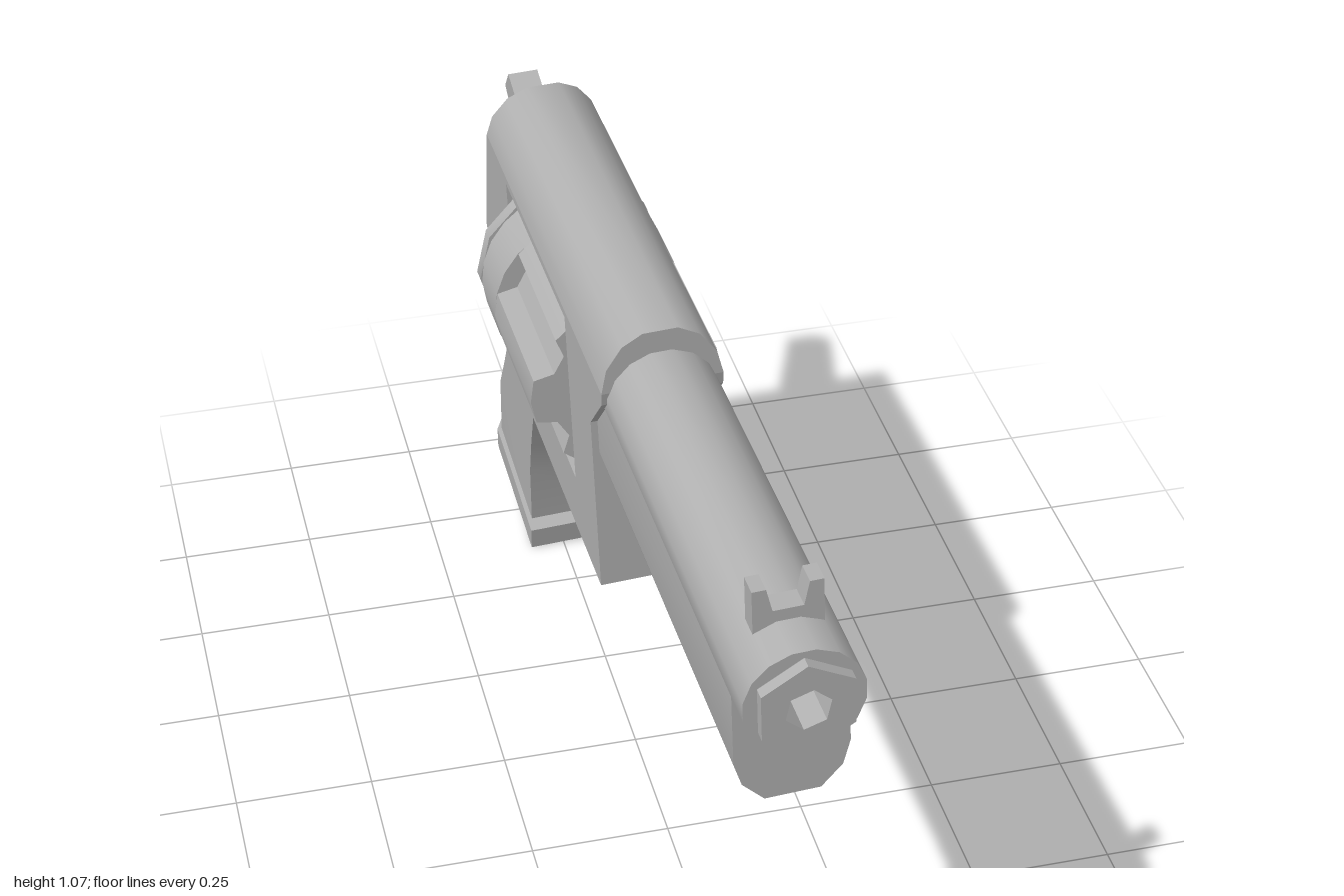
import * as THREE from 'three';
import { toCreasedNormals } from 'three/addons/utils/BufferGeometryUtils.js';

export function createModel() {
  const root = new THREE.Group();
  root.name = 'revolver';
  const tilted = new THREE.Group();
  tilted.name = 'tiltedAssembly';
  const steel = new THREE.MeshStandardMaterial({ color: 0xb0b0b0 });
  steel.name = 'steel grey';

  const add = (name, geo, x = 0, y = 0, z = 0) => {
    const mesh = new THREE.Mesh(toCreasedNormals(geo, 0.55), steel);
    mesh.name = name;
    mesh.position.set(x, y, z);
    tilted.add(mesh);
    return mesh;
  };
  const toShape = (pts) => new THREE.Shape(pts.map(([a, b]) => new THREE.Vector2(a, b)));

  // Side outline in (z, y), given a thickness across x
  const plate = (pts, halfWidth, hole) => {
    const shape = toShape(pts);
    if (hole) shape.holes.push(toShape(hole));
    return new THREE.ExtrudeGeometry(shape, { depth: halfWidth * 2, bevelEnabled: false })
      .translate(0, 0, -halfWidth).rotateY(-Math.PI / 2);
  };
  // Cross-section in (x, y), drawn out along z
  const bar = (shape, z0, z1) =>
    new THREE.ExtrudeGeometry(shape, { depth: z1 - z0, bevelEnabled: false }).translate(0, 0, z0);
  const polygon = (r, n, turn = 0) => Array.from({ length: n }, (_, i) => {
    const a = turn + (i / n) * Math.PI * 2;
    return [r * Math.cos(a), r * Math.sin(a)];
  });
  const ring = (r, n, bore) => {
    const shape = toShape(polygon(r, n, Math.PI / n));
    shape.holes.push(toShape(polygon(bore, 6, 0.3)));
    return shape;
  };

  // Barrel with hexagonal muzzle ring and bore
  add('barrel', bar(ring(0.096, 16, 0.037), 0.05, 0.98), 0, 0.915);
  add('muzzleRing', bar(ring(0.083, 6, 0.037), 0.97, 1.0), 0, 0.915);
  add('barrelUnderlug', bar(toShape([
    [-0.092, 0.89], [-0.092, 0.755], [-0.08, 0.71], [-0.045, 0.672],
    [0.045, 0.672], [0.08, 0.71], [0.092, 0.755], [0.092, 0.89],
  ]), 0.05, 0.91));

  // Notched front sight
  add('frontSight', bar(toShape([
    [-0.055, 0.97], [0.055, 0.97], [0.055, 1.072], [0.033, 1.072],
    [0.024, 1.03], [-0.024, 1.03], [-0.033, 1.072], [-0.055, 1.072],
  ]), 0.865, 0.903));

  // Frame with a window for the cylinder
  add('frame', plate([
    [0.09, 0.465], [0.09, 0.82], [0.185, 0.92], [0.19, 0.945], [-0.677, 0.945],
    [-0.76, 0.7], [-0.725, 0.61], [-0.63, 0.515], [-0.5, 0.465],
  ], 0.104, [[-0.07, 0.587], [-0.07, 0.93], [-0.52, 0.93], [-0.52, 0.587]]));

  // Rounded top strap, its back end sloping with the frame
  const strap = bar(toShape([
    [-0.104, 0.945], [0.104, 0.945], [0.094, 0.99], [0.066, 1.03],
    [0.03, 1.05], [-0.03, 1.05], [-0.066, 1.03], [-0.094, 0.99],
  ]), -0.64, 0.19);
  const p = strap.attributes.position;
  for (let i = 0; i < p.count; i++) {
    if (p.getZ(i) < 0) p.setZ(i, -0.64 - (1.052 - p.getY(i)) * 0.345);
  }
  strap.computeVertexNormals();
  add('topStrap', strap);

  // Fluted cylinder: six lands with a groove between each pair
  const fluted = [];
  for (let i = 0; i < 6; i++) {
    for (const [deg, r] of [[-15, 0.17], [0, 0.172], [15, 0.17], [22, 0.137], [38, 0.137]]) {
      const a = THREE.MathUtils.degToRad(i * 60 + deg);
      fluted.push([r * Math.cos(a), r * Math.sin(a)]);
    }
  }
  add('cylinderFlutes', bar(toShape(fluted), -0.365, -0.08), 0, 0.758);
  const disc = (r, n, z0, z1) => bar(toShape(polygon(r, n)), z0, z1);
  add('cylinderBack', disc(0.171, 24, -0.475, -0.365), 0, 0.758);
  add('ratchetPlate', disc(0.172, 12, -0.515, -0.487), 0, 0.758);
  add('cylinderAxle', disc(0.06, 12, -0.53, -0.06), 0, 0.758);

  // Trigger guard, trigger and hammer
  add('triggerGuard', plate([
    [-0.035, 0.48], [-0.095, 0.32], [-0.148, 0.28], [-0.62, 0.275],
    [-0.62, 0.322], [-0.165, 0.325], [-0.12, 0.352], [-0.075, 0.48],
  ], 0.055));
  add('trigger', plate([
    [-0.29, 0.48], [-0.297, 0.4], [-0.32, 0.335], [-0.337, 0.39], [-0.335, 0.48],
  ], 0.022));
  add('hammer', plate([
    [-0.66, 0.93], [-0.7, 0.937], [-0.82, 0.98], [-0.86, 0.935], [-0.71, 0.82], [-0.66, 0.82],
  ], 0.028));

  // Closed loft of rows [frontZ, frontY, backZ, backY], chamfered at the back
  const loft = (rows, hw) => {
    const section = [[-1, 0], [-1, 0.78], [-0.5, 1], [0.5, 1], [1, 0.78], [1, 0]];
    const n = section.length, pos = [], idx = [];
    for (const [fz, fy, bz, by] of rows) {
      for (const [x, t] of section) pos.push(x * hw, fy + (by - fy) * t, fz + (bz - fz) * t);
    }
    for (let r = 0; r < rows.length - 1; r++) {
      for (let i = 0; i < n; i++) {
        const a = r * n + i, b = r * n + (i + 1) % n;
        idx.push(a, b, a + n, b, b + n, a + n);
      }
    }
    const last = (rows.length - 1) * n;
    for (let i = 1; i < n - 1; i++) {
      idx.push(0, i + 1, i, last, last + i, last + i + 1);
    }
    const g = new THREE.BufferGeometry();
    g.setAttribute('position', new THREE.Float32BufferAttribute(pos, 3));
    // Rows run downward, so reverse the corners to face outward
    for (let i = 0; i < idx.length; i += 3) [idx[i + 1], idx[i + 2]] = [idx[i + 2], idx[i + 1]];
    g.setIndex(idx);
    // Flip everything if the enclosed volume comes out negative
    const v = [0, 1, 2].map(() => new THREE.Vector3());
    let volume = 0;
    for (let i = 0; i < idx.length; i += 3) {
      v.forEach((q, k) => q.fromArray(pos, idx[i + k] * 3));
      volume += v[0].dot(v[1].clone().cross(v[2]));
    }
    if (volume < 0) g.setIndex(idx.reverse());
    g.computeVertexNormals();
    return g;
  };
  add('grip', loft([
    [-0.48, 0.5, -0.72, 0.635], [-0.525, 0.42, -0.77, 0.49], [-0.585, 0.29, -0.865, 0.36],
    [-0.62, 0.2, -0.945, 0.26], [-0.645, 0.05, -0.985, 0.1],
  ], 0.084));
  add('gripBase', loft([
    [-0.61, 0.058, -0.99, 0.118], [-0.62, 0.008, -0.997, 0.07],
  ], 0.093));

  // The whole piece leans slightly
  tilted.children.forEach((m) => { m.position.y -= 0.8; });
  tilted.position.set(0.003, 0.8, 0);
  tilted.rotation.set(0, 0.02, 0.045);
  root.add(tilted);
  return root;
}
